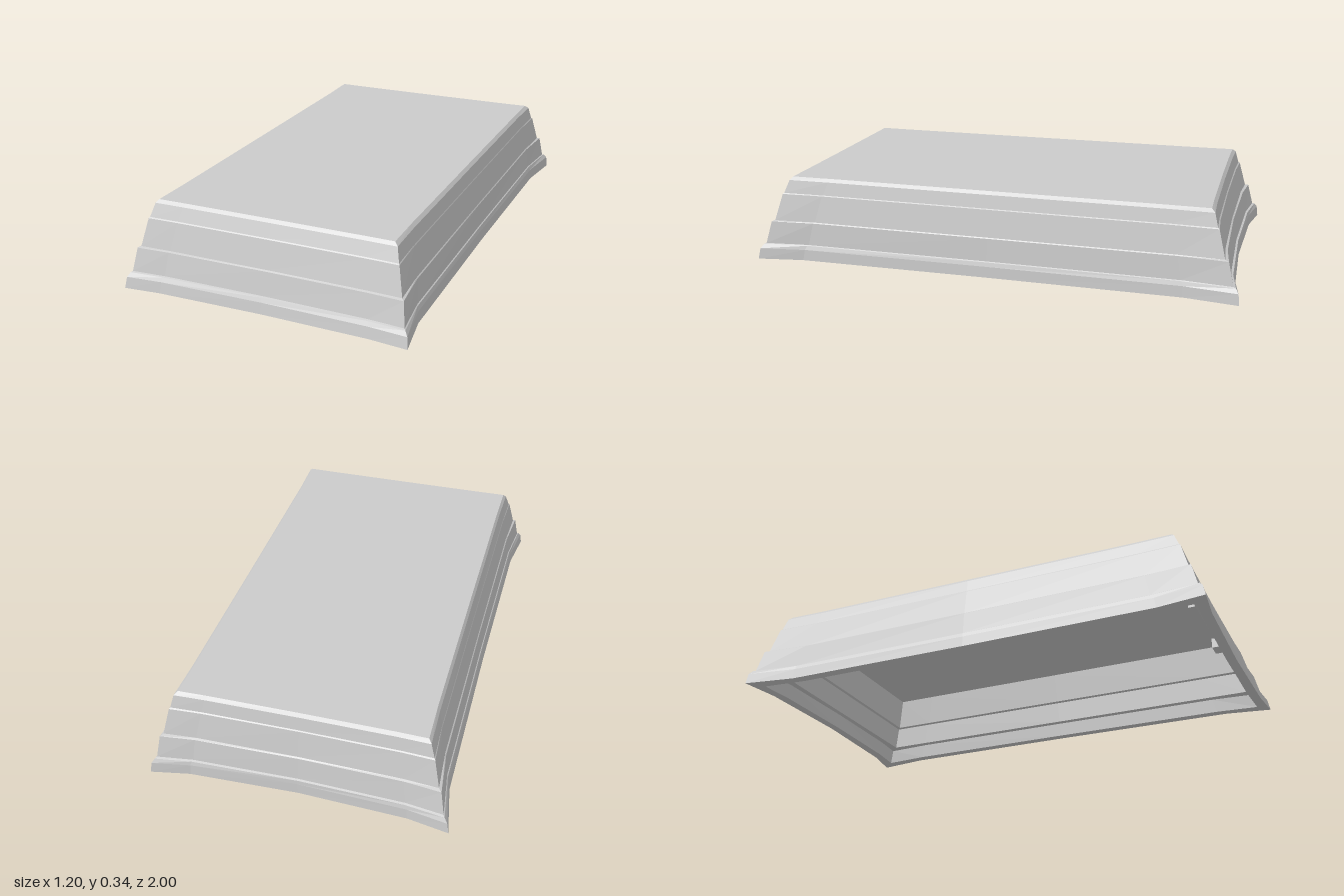
import * as THREE from 'three';

const material = new THREE.MeshStandardMaterial({ color: 0xcccccc, flatShading: true, side: THREE.DoubleSide });

// One horizontal outline: four straight-ish sides and four corners pushed outward by flare.
// Corners: front-left of view order, counter-clockwise from above, starting at +x +z.
function ring({ y, l, r, b, f, flare = 0 }) {
  const corner = [[r, f, 0.037, 0.022], [r, b, 0.035, 0.045], [l, b, 0.045, 0.045], [l, f, 0.03, 0.022]];
  const points = [];
  corner.forEach(([x, z, fx, fz], i) => {
    const sx = Math.sign(x), sz = Math.sign(z);
    const alongX = [x - sx * 0.12, z + sz * fz * 0.35 * flare];
    const alongZ = [x + sx * fx * 0.15 * flare, z - sz * 0.17];
    const tip = [x + sx * fx * flare, z + sz * fz * flare];
    const first = i % 2 === 0 ? alongX : alongZ;
    const last = i % 2 === 0 ? alongZ : alongX;
    points.push(first, tip, last);
    // middle of the side that follows this corner
    const next = corner[(i + 1) % 4];
    points.push([(x + next[0]) / 2, (z + next[1]) / 2]);
  });
  return points.map(([x, z]) => [x, y, z]);
}

// Skin through successive outlines, optionally closing the last one with a flat cap.
function loft(rings, cap) {
  const n = rings[0].length, pos = rings.flat(2), index = [];
  for (let k = 0; k < rings.length - 1; k++) {
    for (let i = 0; i < n; i++) {
      const a = k * n + i, b = k * n + (i + 1) % n;
      index.push(a, b, b + n, a, b + n, a + n);
    }
  }
  if (cap) {
    const start = (rings.length - 1) * n, y = rings[rings.length - 1][0][1];
    pos.push(0, y, 0);
    for (let i = 0; i < n; i++) index.push(start + i, start + (i + 1) % n, rings.length * n);
  }
  const geometry = new THREE.BufferGeometry();
  geometry.setAttribute('position', new THREE.Float32BufferAttribute(pos, 3));
  geometry.setIndex(index);
  const flat = geometry.toNonIndexed();
  flat.computeVertexNormals();
  return flat;
}

export function createModel() {
  const model = new THREE.Group();
  const add = (name, geometry) => {
    const mesh = new THREE.Mesh(geometry, material);
    mesh.name = name;
    model.add(mesh);
    return mesh;
  };

  // Outer walls: overlapping courses with small steps at each seam
  const outer = [
    { y: 0, l: -0.555, r: 0.563, b: -0.955, f: 0.978, flare: 1 },
    { y: 0.045, l: -0.55, r: 0.56, b: -0.952, f: 0.97, flare: 0.95 },
    { y: 0.062, l: -0.546, r: 0.555, b: -0.95, f: 0.962, flare: 0.75 },
    { y: 0.065, l: -0.542, r: 0.551, b: -0.942, f: 0.955, flare: 0.7 },
    { y: 0.158, l: -0.532, r: 0.543, b: -0.926, f: 0.935, flare: 0.55 },
    { y: 0.162, l: -0.528, r: 0.54, b: -0.92, f: 0.928, flare: 0.35 },
    { y: 0.272, l: -0.508, r: 0.52, b: -0.896, f: 0.9, flare: 0.25 },
    { y: 0.276, l: -0.506, r: 0.518, b: -0.892, f: 0.896, flare: 0.2 },
    { y: 0.33, l: -0.492, r: 0.506, b: -0.88, f: 0.876, flare: 0.15 },
    { y: 0.343, l: -0.482, r: 0.494, b: -0.868, f: 0.866, flare: 0.1 },
  ].map(ring);
  add('outerShell', loft(outer, true));

  // Hollow underside: inner walls with shallow ledges, closed by the ceiling
  const inner = [
    { y: 0, l: -0.515, r: 0.525, b: -0.92, f: 0.94, flare: 0.5 },
    { y: 0.06, l: -0.51, r: 0.52, b: -0.91, f: 0.925, flare: 0.4 },
    { y: 0.065, l: -0.5, r: 0.505, b: -0.895, f: 0.915 },
    { y: 0.16, l: -0.492, r: 0.5, b: -0.88, f: 0.89 },
    { y: 0.165, l: -0.485, r: 0.49, b: -0.87, f: 0.88 },
    { y: 0.3, l: -0.465, r: 0.475, b: -0.85, f: 0.85 },
  ].map(ring);
  const hollow = loft(inner, true);
  // turn the faces inward
  const p = hollow.attributes.position;
  for (let i = 0; i < p.count; i += 3) {
    const u = new THREE.Vector3().fromBufferAttribute(p, i + 1);
    p.setXYZ(i + 1, p.getX(i + 2), p.getY(i + 2), p.getZ(i + 2));
    p.setXYZ(i + 2, u.x, u.y, u.z);
  }
  hollow.computeVertexNormals();
  add('hollowUnderside', hollow);

  // Narrow rim joining both walls at the bottom
  add('bottomRim', loft([inner[0], outer[0]], false));

  // Small blocks under the ceiling along the front wall
  for (const x of [-0.42, 0, 0.42]) {
    add('ceilingBlock', new THREE.BoxGeometry(0.07, 0.05, 0.06)).position.set(x, 0.28, 0.835);
  }
  return model;
}
